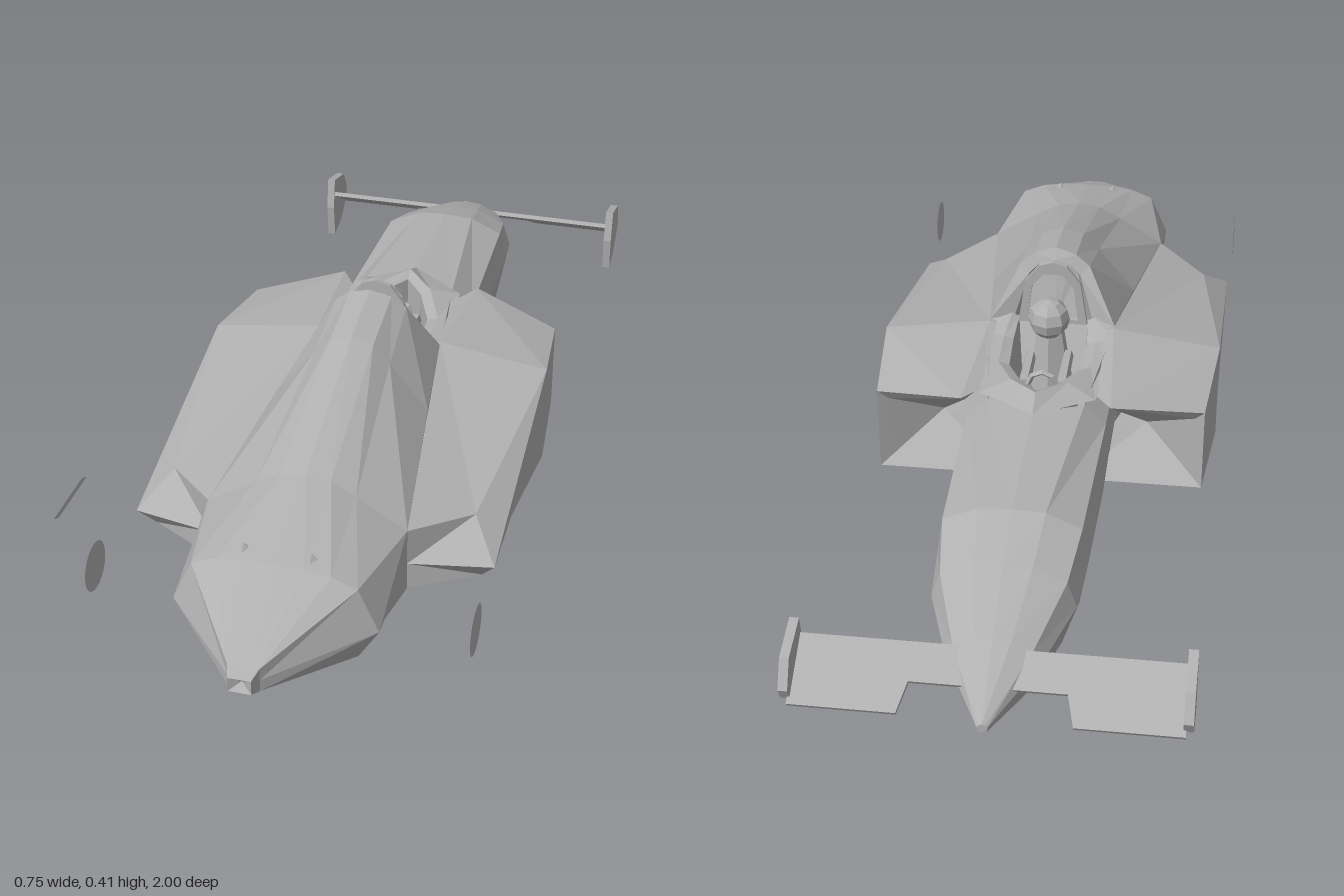
import * as THREE from 'three';

const grey = new THREE.MeshStandardMaterial({ color: 0xb0b0b0, flatShading: true, side: THREE.DoubleSide });
grey.name = 'bodyGrey';

// Faceted skin over rows of [x, y, z] points for the +x half, mirrored to -x.
function skin(rows) {
  const pos = [];
  const tri = (a, b, c) => {
    const [A, B, C] = [a, b, c].map(p => new THREE.Vector3(...p));
    if (B.sub(A).cross(C.sub(A)).length() < 1e-7) return;
    pos.push(...a, ...b, ...c);
    for (const p of [a, c, b]) pos.push(-p[0], p[1], p[2]);
  };
  for (let i = 0; i < rows.length - 1; i++) {
    const r = rows[i], s = rows[i + 1];
    for (let j = 0; j < r.length - 1; j++) {
      tri(r[j], r[j + 1], s[j]);
      tri(r[j + 1], s[j + 1], s[j]);
    }
  }
  const g = new THREE.BufferGeometry();
  g.setAttribute('position', new THREE.Float32BufferAttribute(pos, 3));
  g.computeVertexNormals();
  return g;
}
const at = (z, pts) => pts.map(p => [p[0], p[1], p[2] ?? z]);
const point = (n, p) => Array.from({ length: n }, () => p);

function plate(points, depth, hole) {
  const toPath = (P, pts) => new P(pts.map(p => new THREE.Vector2(...p)));
  const shape = toPath(THREE.Shape, points);
  if (hole) shape.holes.push(toPath(THREE.Path, hole));
  return new THREE.ExtrudeGeometry(shape, { depth, bevelEnabled: false });
}

export function createModel() {
  const group = new THREE.Group();
  const add = (name, geometry, x = 0, y = 0, z = 0) => {
    const mesh = new THREE.Mesh(geometry, grey);
    mesh.name = name;
    mesh.position.set(x, y, z);
    group.add(mesh);
    return mesh;
  };

  // Tail and tall engine cover, from the tail end towards the cockpit
  add('engineCover', skin([
    point(7, [0, 0.105, 0.985]),
    at(1, [[0, 0.12], [0.015, 0.12], [0.02, 0.12], [0.022, 0.12], [0.022, 0.105], [0.022, 0.09], [0, 0.09]]),
    at(0.975, [[0, 0.13], [0.015, 0.13], [0.025, 0.13], [0.03, 0.13], [0.03, 0.105], [0.03, 0.08], [0, 0.08]]),
    at(0.79, [[0, 0.218], [0.06, 0.216], [0.11, 0.21], [0.16, 0.19], [0.2, 0.1], [0.16, 0.035], [0, 0.033]]),
    at(0.58, [[0, 0.275], [0.05, 0.266], [0.1, 0.24], [0.2, 0.178], [0.2, 0.1], [0.2, 0.04], [0, 0.015]]),
    at(0.25, [[0, 0.385], [0.045, 0.372], [0.08, 0.335], [0.16, 0.235], [0.17, 0.12], [0.2, 0.016], [0, 0.015]]),
    at(0.04, [[0, 0.415, 0.105], [0.045, 0.402, 0.1], [0.075, 0.378, 0.095], [0.135, 0.265],
      [0.15, 0.12], [0.14, 0.015], [0, 0.015]]),
  ]));

  // Open front of the cover, stepping in to a recessed headrest
  add('coverOpening', skin([
    [[0, 0.415, 0.105], [0.045, 0.402, 0.1], [0.075, 0.378, 0.095], [0.135, 0.265, 0.04]],
    [[0, 0.39, 0.09], [0.035, 0.38, 0.09], [0.055, 0.36, 0.085], [0.085, 0.265, 0.06]],
    [[0, 0.37, 0.13], [0.03, 0.36, 0.13], [0.045, 0.34, 0.13], [0.07, 0.24, 0.1]],
    point(4, [0, 0.24, 0.1]),
  ]));

  // Side pods and floor, with slanted tail faces and hollow inlets
  add('sidePods', skin([
    point(7, [0.2, 0.1, 0.58]),
    at(0.58, [[0.15, 0.178], [0.2, 0.178], [0.31, 0.16, 0.47], [0.365, 0.1, 0.55],
      [0.335, 0.055, 0.52], [0.2, 0.04], [0, 0.025]]),
    at(0.03, [[0.12, 0.262], [0.135, 0.265], [0.365, 0.232], [0.365, 0.12], [0.365, 0.013], [0.2, 0.013], [0, 0.013]]),
    at(-0.185, [[0.12, 0.24, -0.2], [0.155, 0.245, -0.25], [0.345, 0.205], [0.345, 0.1],
      [0.345, 0.015], [0.15, 0.015], [0, 0.015]]),
    at(-0.17, [[0.14, 0.21], [0.155, 0.21, -0.2], [0.325, 0.18], [0.325, 0.1], [0.325, 0.03], [0.15, 0.03], [0.1, 0.03]]),
    point(7, [0.22, 0.11, -0.09]),
  ]));

  // Cockpit walls joining the pods to the nose
  add('tubSides', skin([
    at(0.04, [[0.135, 0.262], [0.15, 0.2], [0.15, 0.12], [0.14, 0.018], [0, 0.018]]),
    at(-0.24, [[0.1, 0.242], [0.145, 0.2], [0.15, 0.12], [0.14, 0.018], [0, 0.018]]),
  ]));

  // Long tapering nose
  add('nose', skin([
    at(-0.24, [[0, 0.25, -0.29], [0.1, 0.242], [0.145, 0.2], [0.15, 0.12], [0.14, 0.018], [0, 0.018]]),
    at(-0.6, [[0, 0.236], [0.065, 0.232], [0.135, 0.2], [0.147, 0.12], [0.13, 0.02], [0, 0.018]]),
    at(-0.72, [[0, 0.197], [0.055, 0.192], [0.12, 0.165], [0.138, 0.11], [0.11, 0.02], [0, 0.018]]),
    at(-0.86, [[0, 0.142], [0.035, 0.137], [0.075, 0.118], [0.088, 0.085], [0.07, 0.025], [0, 0.023]]),
    at(-1, [[0, 0.06], [0.006, 0.057], [0.01, 0.053], [0.01, 0.05], [0.008, 0.042], [0, 0.042]]),
    point(6, [0, 0.05, -1]),
  ]));

  // Deck around the cockpit, raised rim, inner walls and floor
  add('cockpit', skin([
    [[0.135, 0.265, 0.06], [0.14, 0.25, 0], [0.14, 0.242, -0.1], [0.12, 0.243, -0.22], [0, 0.25, -0.3]],
    [[0.09, 0.272, 0.06], [0.1, 0.248, 0], [0.098, 0.245, -0.1], [0.06, 0.262, -0.19], [0, 0.272, -0.25]],
    [[0.075, 0.262, 0.06], [0.08, 0.24, 0], [0.075, 0.238, -0.1], [0.04, 0.252, -0.18], [0, 0.26, -0.225]],
    [[0.07, 0.12, 0.06], [0.07, 0.12, 0], [0.065, 0.12, -0.1], [0.035, 0.12, -0.18], [0, 0.12, -0.22]],
    [[0, 0.12, 0.06], [0, 0.12, 0], [0, 0.12, -0.1], [0, 0.12, -0.18], [0, 0.12, -0.22]],
  ]));

  // Hoop behind the driver
  add('rollHoop', plate(
    [[-0.075, 0.26], [-0.06, 0.36], [-0.03, 0.4], [0, 0.41], [0.03, 0.4], [0.06, 0.36], [0.075, 0.26]], 0.01,
    [[-0.055, 0.27], [0.055, 0.27], [0.045, 0.35], [0.02, 0.38], [-0.02, 0.38], [-0.045, 0.35]],
  ), 0, 0, 0.045);

  // Driver and steering wheel
  add('helmet', new THREE.SphereGeometry(0.045, 8, 6), 0, 0.312, -0.02);
  add('driverBody', new THREE.CylinderGeometry(0.03, 0.055, 0.16, 6), 0, 0.2, 0);
  for (const s of [-1, 1]) {
    const arm = add('driverArm', new THREE.CylinderGeometry(0.012, 0.014, 0.13, 5), s * 0.04, 0.215, -0.07);
    arm.rotation.x = Math.PI / 2;
  }
  add('steeringWheel', new THREE.TorusGeometry(0.03, 0.006, 4, 8), 0, 0.22, -0.14);

  // Tilted front wing, narrower where it meets the nose
  const wing = add('frontWing', plate([[-0.36, 0], [-0.16, 0], [-0.145, 0.06], [0.145, 0.06], [0.16, 0],
    [0.36, 0], [0.36, 0.135], [-0.36, 0.135]], 0.01), 0, 0.05, -0.98);
  wing.rotation.x = 1.02;

  for (const s of [-1, 1]) {
    // Wing end plates
    const end = plate([[-0.865, 0.155], [-0.95, 0.133], [-0.98, 0.08], [-0.965, 0.05],
      [-0.92, 0.015], [-0.86, 0], [-0.852, 0.08]], 0.018).rotateY(-Math.PI / 2);
    add('endPlate', end, s * 0.364 + 0.009);
    // Flat discs standing beside the tail
    add('sideDisc', new THREE.CircleGeometry(0.05, 24).rotateY(s * Math.PI / 2), s * 0.372, 0.11, 0.75);
    // Small exhaust bumps on the tail
    add('exhaust', new THREE.ConeGeometry(0.022, 0.025, 4), s * 0.065, 0.222, 0.76);
  }

  // Thin upright sliver above the tail
  const sliver = new THREE.ShapeGeometry(new THREE.Shape([[0.76, 0.326], [0.89, 0.326], [0.91, 0.337], [0.78, 0.337]]
    .map(p => new THREE.Vector2(...p)))).rotateY(-Math.PI / 2);
  add('wingSliver', sliver, -0.367);

  return group;
}
